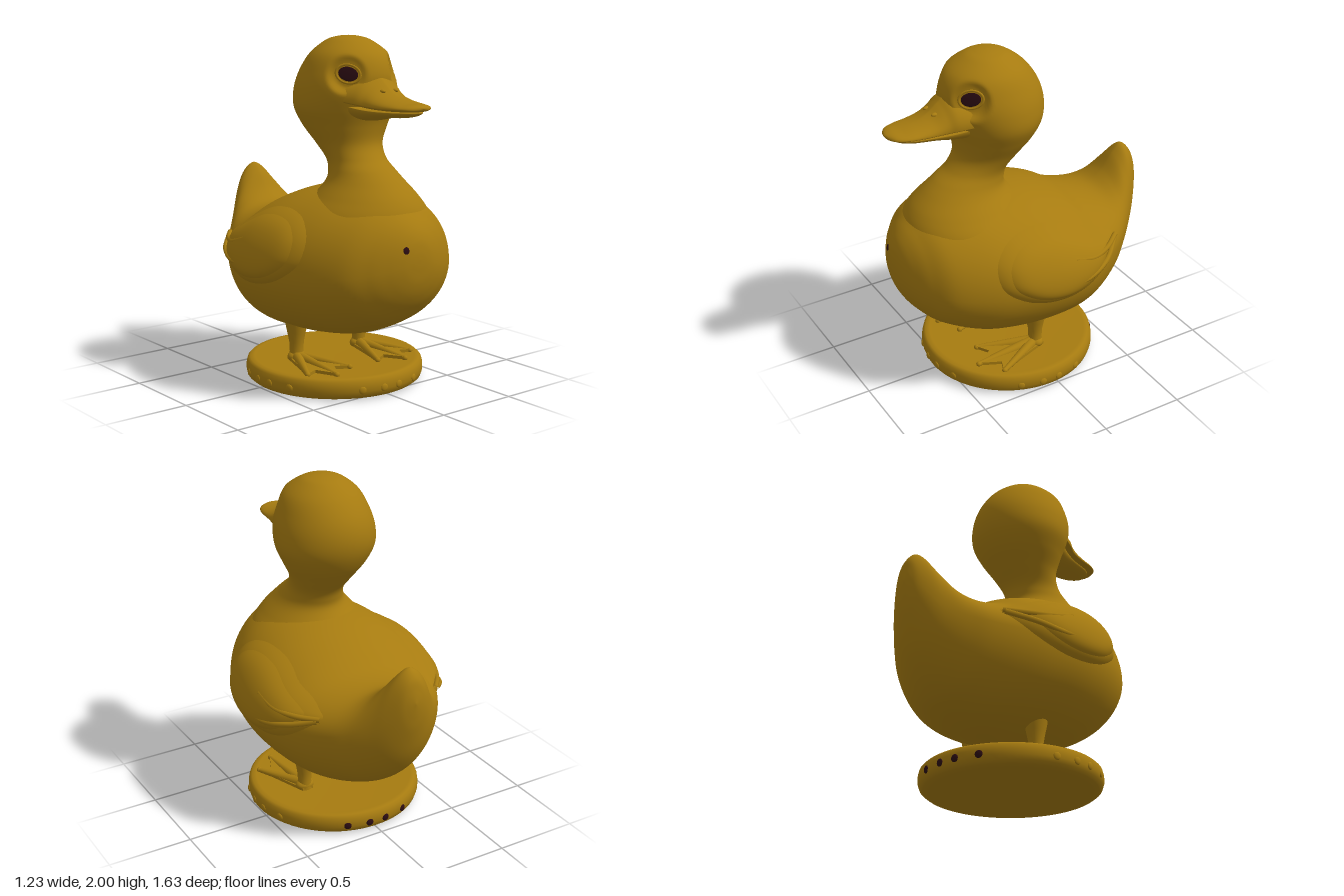
import * as THREE from 'three';
import { mergeVertices } from 'three/addons/utils/BufferGeometryUtils.js';

const gold = new THREE.MeshStandardMaterial({ color: 0xa67b10 });
gold.name = 'gold';
const dark = new THREE.MeshStandardMaterial({ color: 0x2a0c12 });
dark.name = 'dark';

// Smooth interpolation through table rows, t in 0..1
function rowAt(rows, t) {
  const f = Math.min(Math.max(t, 0), 1) * (rows.length - 1);
  const i = Math.min(Math.floor(f), rows.length - 2), k = f - i;
  const r = (n) => rows[Math.min(Math.max(n, 0), rows.length - 1)];
  return r(i).map((b, c) => {
    const a = r(i - 1)[c], d = r(i + 1)[c], e = r(i + 2)[c];
    return b + 0.5 * k * (d - a + k * (2 * a - 5 * b + 4 * d - e + k * (3 * (b - d) + e - a)));
  });
}

// Surface from fn(u, v) -> [x, y, z], welded for smooth normals
function surface(fn, nu, nv) {
  const pos = [], idx = [];
  for (let i = 0; i <= nu; i++)
    for (let j = 0; j <= nv; j++) pos.push(...fn(i / nu, (j % nv) / nv));
  for (let i = 0; i < nu; i++)
    for (let j = 0; j < nv; j++) {
      const a = i * (nv + 1) + j, b = a + nv + 1;
      idx.push(a, b, b + 1, a, b + 1, a + 1);
    }
  let g = new THREE.BufferGeometry();
  g.setAttribute('position', new THREE.Float32BufferAttribute(pos, 3));
  g.setIndex(idx);
  g = mergeVertices(g, 1e-5);
  g.computeVertexNormals();
  return g;
}

// Loft along z; rows are [z, top, bottom, widest y, half width, side power]
const zLoft = (rows) => (u, v) => {
  const [z, top, bot, mid, w, p] = rowAt(rows, u);
  const c = Math.cos(v * Math.PI * 2), s = Math.sin(v * Math.PI * 2);
  const x = w * Math.sign(c) * Math.pow(Math.abs(c), s > 0 ? p : 1);
  return [x, mid + (s > 0 ? top - mid : mid - bot) * s, z];
};

const BODY = [
  [0.80, 0.82, 0.82, 0.82, 0, 1], [0.797, 0.87, 0.76, 0.81, 0.055, 1],
  [0.785, 0.93, 0.68, 0.79, 0.115, 1], [0.755, 0.99, 0.60, 0.77, 0.19, 1],
  [0.70, 1.05, 0.52, 0.75, 0.285, 1], [0.60, 1.12, 0.43, 0.73, 0.40, 1],
  [0.40, 1.17, 0.335, 0.72, 0.505, 1], [0.20, 1.17, 0.295, 0.72, 0.555, 1],
  [0.00, 1.14, 0.278, 0.72, 0.565, 1], [-0.20, 1.07, 0.27, 0.72, 0.53, 1],
  [-0.35, 0.985, 0.295, 0.72, 0.465, 1], [-0.50, 0.965, 0.36, 0.74, 0.37, 1.05],
  [-0.60, 1.02, 0.44, 0.77, 0.285, 1.2], [-0.68, 1.125, 0.54, 0.81, 0.21, 1.3],
  [-0.74, 1.175, 0.65, 0.87, 0.15, 1.2], [-0.79, 1.13, 0.80, 0.95, 0.088, 1],
  [-0.81, 1.06, 0.90, 0.98, 0.045, 1], [-0.82, 0.99, 0.99, 0.99, 0, 1],
];

// Half width of the body at a given height and depth
function bodyX(y, z) {
  let lo = 0, hi = 1;
  for (let i = 0; i < 26; i++) {
    const m = (lo + hi) / 2;
    if (rowAt(BODY, m)[0] > z) lo = m; else hi = m;
  }
  const [, top, bot, mid, w, p] = rowAt(BODY, lo);
  const s = (y - mid) / (y > mid ? top - mid : mid - bot);
  return w * Math.pow(Math.max(0, 1 - s * s), (y > mid ? p : 1) / 2);
}

// Head and neck rows: [y, front z, back z, half width]
const HEAD = [
  [2.0, 0.18, 0.18, 0], [1.993, 0.245, 0.115, 0.065], [1.97, 0.315, 0.05, 0.13],
  [1.90, 0.415, -0.04, 0.215], [1.80, 0.46, -0.11, 0.265], [1.70, 0.455, -0.138, 0.292],
  [1.60, 0.42, -0.128, 0.292], [1.50, 0.388, -0.08, 0.247], [1.40, 0.38, 0.0, 0.19],
  [1.32, 0.43, 0.07, 0.165], [1.26, 0.51, 0.095, 0.175], [1.20, 0.58, 0.095, 0.207],
  [1.12, 0.655, 0.035, 0.275], [1.03, 0.70, -0.05, 0.35], [0.90, 0.72, -0.1, 0.4],
];
const EYES = [1, -1].map((s) => ({
  s, c: new THREE.Vector3(s * 0.147, 1.8, 0.36), n: new THREE.Vector3(s * 0.75, 0.13, 0.65).normalize(),
}));

function headPoint(u, v) {
  const [y, f, b, w] = rowAt(HEAD, u);
  const a = v * Math.PI * 2;
  const p = new THREE.Vector3(w * Math.sin(a), y, (f + b) / 2 + ((f - b) / 2) * Math.cos(a));
  // Flatten the eye sockets
  for (const e of EYES) {
    const q = p.clone().sub(e.c), d = q.dot(e.n);
    const r = q.addScaledVector(e.n, -d).length();
    if (d > 0 && d < 0.1) p.addScaledVector(e.n, -d * (1 - THREE.MathUtils.smoothstep(r, 0.07, 0.125)));
  }
  return p.toArray();
}

// Wing outline in (z, y): tip, top, front, bottom
const WING = new THREE.CatmullRomCurve3([
  [-0.47, 0.83], [-0.42, 0.865], [-0.25, 0.95], [-0.05, 1.04], [0.15, 1.06], [0.31, 1.02],
  [0.40, 0.92], [0.39, 0.79], [0.27, 0.69], [0.1, 0.63], [-0.1, 0.62], [-0.28, 0.67], [-0.43, 0.78],
].map(([z, y]) => new THREE.Vector3(0, y, z)), true);

const wingPoint = (side, size, lift) => (u, v) => {
  const p = WING.getPoint(side > 0 ? v : (1 - v) % 1);
  const z = 0.04 + (p.z - 0.04) * u * size, y = 0.84 + (p.y - 0.84) * u * size;
  return [side * (bodyX(y, z) - 0.012 + lift * (1 - Math.pow(u, 7))), y, z];
};

const BILL_TOP = [
  [0.812, 1.64, 1.638, 1.639, 0, 1], [0.80, 1.65, 1.622, 1.632, 0.045, 1],
  [0.77, 1.658, 1.617, 1.632, 0.088, 1], [0.71, 1.662, 1.612, 1.632, 0.115, 1],
  [0.62, 1.68, 1.608, 1.63, 0.128, 1.2], [0.55, 1.71, 1.608, 1.632, 0.137, 1.5],
  [0.49, 1.755, 1.61, 1.637, 0.15, 1.5], [0.44, 1.79, 1.62, 1.645, 0.172, 1.4],
  [0.36, 1.79, 1.63, 1.655, 0.198, 1.3],
];
const BILL_LOW = [
  [0.77, 1.61, 1.61, 1.61, 0, 1], [0.75, 1.615, 1.594, 1.61, 0.05, 1],
  [0.68, 1.615, 1.578, 1.608, 0.09, 1], [0.55, 1.615, 1.565, 1.605, 0.115, 1],
  [0.45, 1.62, 1.545, 1.61, 0.14, 1], [0.36, 1.63, 1.535, 1.625, 0.17, 1],
];

export function createModel() {
  const model = new THREE.Group();
  const add = (name, geo, mat = gold, x = 0, y = 0, z = 0) => {
    const m = new THREE.Mesh(geo, mat);
    m.name = name;
    m.position.set(x, y, z);
    model.add(m);
    return m;
  };
  // Tapered rod between two points
  const rod = (name, a, b, ra, rb) => {
    const d = b.clone().sub(a);
    const m = add(name, new THREE.CylinderGeometry(rb, ra, d.length(), 14), gold);
    m.position.copy(a).addScaledVector(d, 0.5);
    m.quaternion.setFromUnitVectors(new THREE.Vector3(0, 1, 0), d.normalize());
  };
  const ball = new THREE.SphereGeometry(1, 24, 16);
  const V = (x, y, z) => new THREE.Vector3(x, y, z);

  add('body', surface(zLoft(BODY), 110, 80));
  add('headAndNeck', surface(headPoint, 120, 112));
  add('upperBill', surface(zLoft(BILL_TOP), 50, 48));
  add('lowerBill', surface(zLoft(BILL_LOW), 30, 40));

  // Eyes with a raised rim
  for (const { s, c, n } of EYES) {
    const eye = add('eye', ball, dark);
    eye.scale.set(0.056, 0.039, 0.004);
    const rim = add('eyeRim', new THREE.TorusGeometry(0.068, 0.008, 10, 40));
    rim.scale.set(1, 0.74, 0.7);
    for (const m of [eye, rim]) {
      m.position.copy(c).addScaledVector(n, 0.001);
      m.lookAt(m.position.clone().add(n));
      m.rotateZ(s * 0.22);
    }
  }

  for (const s of [1, -1]) {
    // Wing, its raised upper layer and feather ridges
    add('wing', surface(wingPoint(s, 1, 0.045), 24, 90));
    add('wingLayer', surface(wingPoint(s, 0.9, 0.062), 24, 90));
    for (const pts of [[[-0.06, 0.87], [-0.2, 0.83], [-0.33, 0.82], [-0.45, 0.825]],
      [[0.0, 0.735], [-0.16, 0.735], [-0.3, 0.765], [-0.44, 0.815]]]) {
      const path = new THREE.CatmullRomCurve3(pts.map(([z, y], i) =>
        V(s * (bodyX(y, z) + (i === 3 ? 0.015 : 0.034)), y, z)));
      add('featherRidge', new THREE.TubeGeometry(path, 24, 0.016, 8));
    }

    add('nostril', ball, gold, s * 0.045, 1.712, 0.53).scale.set(0.014, 0.01, 0.02);

    // Leg
    const leg = [[0.048, 0.12], [0.04, 0.17], [0.043, 0.23], [0.055, 0.29], [0.07, 0.36]];
    add('leg', new THREE.LatheGeometry(leg.map(([r, y]) => new THREE.Vector2(r, y)), 24), gold, s * 0.235);

    // Webbed foot with three toes
    const outline = [[-0.035, -0.04], [0.035, -0.04], [0.155, 0.31], [0.08, 0.28],
      [0.02, 0.41], [-0.05, 0.29], [-0.135, 0.34]].map(([x, z]) => new THREE.Vector2(s * x, z));
    const web = new THREE.ExtrudeGeometry(new THREE.Shape(outline), { depth: 0.03, bevelEnabled: false });
    web.rotateX(Math.PI / 2);
    add('footWeb', web, gold, s * 0.235, 0.138, 0);
    for (const [x, z] of [[0.15, 0.3], [0.02, 0.4], [-0.13, 0.33]]) {
      rod('toe', V(s * 0.235, 0.142, 0), V(s * (0.235 + x), 0.128, z), 0.034, 0.014);
      add('toeTip', ball, gold, s * (0.235 + x), 0.128, z).scale.setScalar(0.016);
    }
    add('ankle', ball, gold, s * 0.235, 0.14, 0).scale.set(0.058, 0.035, 0.045);
  }

  // Small dark spot on the chest
  let z = 0.8;
  while (bodyX(0.88, z) < 0.09) z -= 0.001;
  const spot = add('chestSpot', ball, dark, -0.09, 0.88, z + 0.001);
  spot.scale.set(0.018, 0.02, 0.0045);
  spot.lookAt(spot.position.clone().add(V(-0.25, 0.25, 1)));

  // Round stand
  const stand = [[0, 0.004], [0.46, 0], [0.49, 0.006], [0.51, 0.022], [0.519, 0.05], [0.519, 0.08],
    [0.512, 0.108], [0.497, 0.122], [0.47, 0.125], [0.45, 0.12], [0, 0.118]];
  add('stand', new THREE.LatheGeometry(stand.map(([r, y]) => new THREE.Vector2(r, y)), 72), gold, 0, 0, 0.06);

  // Four studs on each side of the stand, the rear ones dark
  for (let q = 0; q < 4; q++)
    for (const d of [-21, -6, 6, 22]) {
      const a = THREE.MathUtils.degToRad(q * 90 + d);
      const stud = add('stud', ball, q === 2 ? dark : gold, 0.518 * Math.sin(a), 0.058, 0.06 + 0.518 * Math.cos(a));
      stud.scale.set(0.022, 0.022, 0.009);
      stud.rotation.y = a;
    }
  return model;
}
